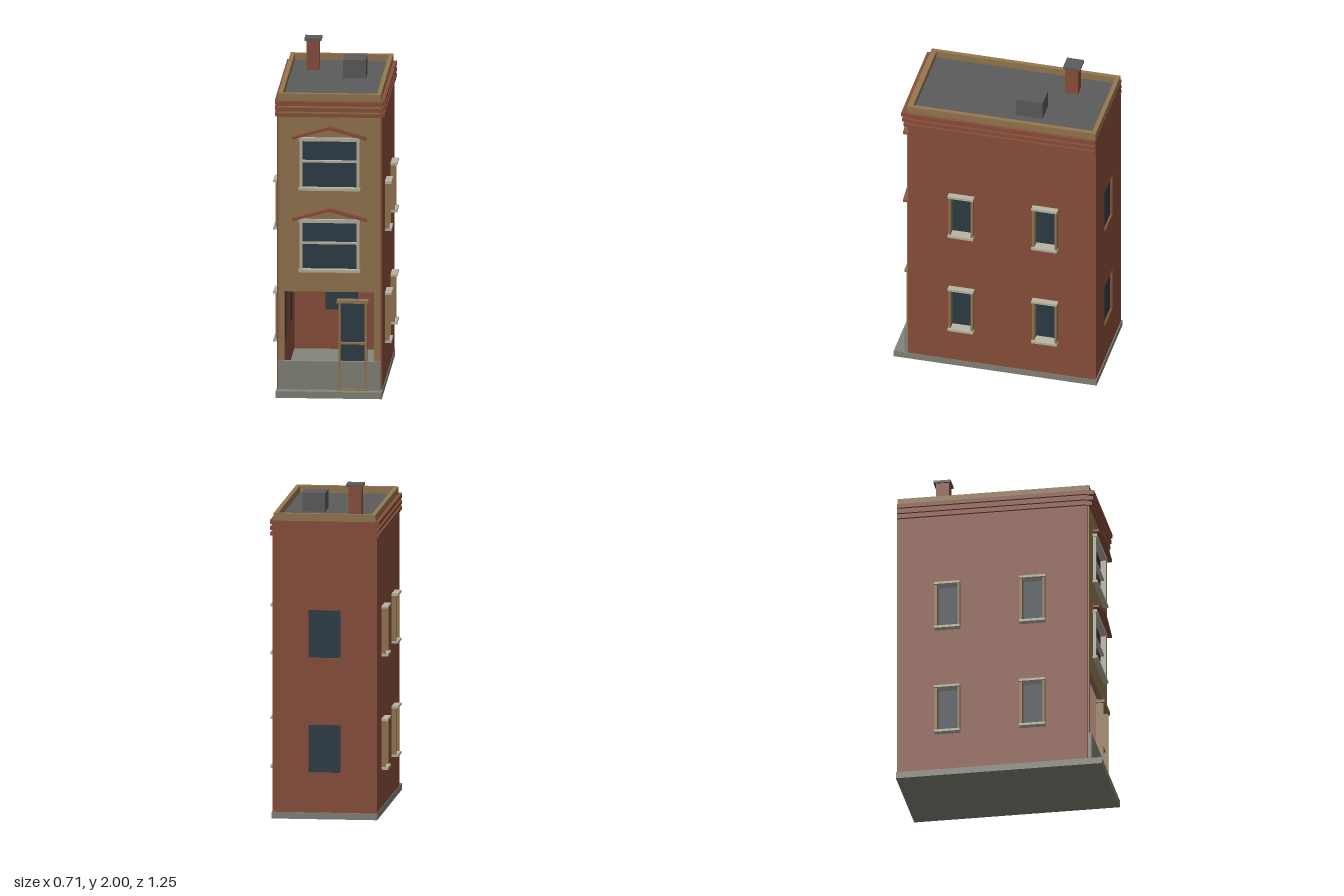
import * as THREE from 'three';

const mat = (name, color) => {
  const m = new THREE.MeshStandardMaterial({ color });
  m.name = name;
  return m;
};

export function createModel() {
  const brick = mat('brick', 0x8b4f3b);
  const tan = mat('tan stone', 0x95784f);
  const stone = mat('grey stone', 0x85857a);
  const trim = mat('pale trim', 0xbab5a3);
  const glass = mat('dark glass', 0x2e3c47);
  const roofGrey = mat('roof grey', 0x5c5c5c);

  const model = new THREE.Group();
  model.name = 'townhouse';

  const group = (name, parent = model) => {
    const g = new THREE.Group();
    g.name = name;
    parent.add(g);
    return g;
  };

  // Box given by its limits on each axis
  const box = (name, m, [x0, x1], [y0, y1], [z0, z1], parent = model) => {
    const mesh = new THREE.Mesh(new THREE.BoxGeometry(x1 - x0, y1 - y0, z1 - z0), m);
    mesh.position.set((x0 + x1) / 2, (y0 + y1) / 2, (z0 + z1) / 2);
    mesh.name = name;
    parent.add(mesh);
    return mesh;
  };

  // Upright wall with rectangular openings [u0, u1, v0, v1]
  const wall = (name, m, [u0, u1], [v0, v1], depth, holes) => {
    const rect = (path, a, b, c, d) =>
      path.moveTo(a, c).lineTo(b, c).lineTo(b, d).lineTo(a, d).lineTo(a, c);
    const shape = rect(new THREE.Shape(), u0, u1, v0, v1);
    for (const h of holes) shape.holes.push(rect(new THREE.Path(), ...h));
    const mesh = new THREE.Mesh(
      new THREE.ExtrudeGeometry(shape, { depth, bevelEnabled: false }), m);
    mesh.name = name;
    model.add(mesh);
    return mesh;
  };

  // Foundation slab
  box('foundation', stone, [-0.318, 0.318], [0, 0.04], [-0.626, 0.626]);

  // Side walls with four windows each
  const sideZ = [0.207, -0.31];
  const sideRows = [[0.283, 0.568], [0.97, 1.25]];
  const sideHoles = sideZ.flatMap((z) => sideRows.map(([a, b]) => [z - 0.07, z + 0.07, a, b]));
  for (const s of [1, -1]) {
    const side = s > 0 ? 'left' : 'right';
    const w = wall(side + 'Wall', brick, [-0.612, 0.54], [0.035, 1.8], 0.03, sideHoles);
    w.rotation.y = -Math.PI / 2;
    w.position.x = s > 0 ? 0.315 : -0.285;

    const span = (a, b) => (s > 0 ? [a, b] : [-b, -a]);
    for (const z of sideZ) for (const [y0, y1] of sideRows) {
      const g = group(side + 'Window');
      box('pane', glass, span(0.284, 0.29), [y0, y1], [z - 0.07, z + 0.07], g);
      for (const e of [-1, 1]) {
        const c = z + e * 0.069;
        box('jamb', tan, span(0.286, 0.342), [y0, y1], [c - 0.007, c + 0.007], g);
      }
      box('lintel', trim, span(0.286, 0.355), [y1 - 0.003, y1 + 0.011], [z - 0.079, z + 0.079], g);
      box('sill', trim, span(0.286, 0.355), [y0 - 0.012, y0 + 0.003], [z - 0.079, z + 0.079], g);
    }
  }

  // Back wall with two plain windows
  const backHoles = [[-0.097, 0.097, 0.28, 0.57], [-0.097, 0.097, 0.975, 1.265]];
  wall('backWall', brick, [-0.312, 0.312], [0.035, 1.803], 0.03, backHoles).position.z = -0.62;
  for (const [a, b, c, d] of backHoles) {
    box('backWindowPane', glass, [a, b], [c, d], [-0.606, -0.598]);
  }

  // Front wall with shop opening and two bay-width windows
  const frontRows = [[0.775, 1.07], [1.275, 1.57]];
  wall('frontWall', tan, [-0.306, 0.306], [0.035, 1.802], 0.03, [
    [-0.27, 0.266, 0.06, 0.637],
    ...frontRows.map(([a, b]) => [-0.168, 0.168, a, b]),
  ]).position.z = 0.517;

  // Front windows with pediments
  for (const [y0, y1] of frontRows) {
    const g = group('frontWindow');
    box('pane', glass, [-0.17, 0.17], [y0, y1], [0.527, 0.534], g);
    for (const s of [-1, 1]) {
      box('jamb', trim, [s * 0.171 - 0.009, s * 0.171 + 0.009], [y0, y1], [0.53, 0.568], g);
    }
    box('head', trim, [-0.184, 0.184], [y1 - 0.007, y1 + 0.013], [0.53, 0.572], g);
    box('sill', trim, [-0.186, 0.186], [y0 - 0.014, y0 + 0.002], [0.53, 0.577], g);
    const mid = (y0 + y1) / 2 + 0.013;
    box('meetingRail', trim, [-0.165, 0.165], [mid - 0.006, mid + 0.006], [0.53, 0.556], g);

    const b = y1 + 0.008;
    const chevron = new THREE.Shape([
      [-0.223, b], [-0.213, b], [0, b + 0.059], [0.213, b], [0.223, b],
      [0.223, b + 0.014], [0, b + 0.077], [-0.223, b + 0.014],
    ].map(([x, y]) => new THREE.Vector2(x, y)));
    const pediment = new THREE.Mesh(
      new THREE.ExtrudeGeometry(chevron, { depth: 0.038, bevelEnabled: false }), brick);
    pediment.position.z = 0.555;
    pediment.name = 'pediment';
    g.add(pediment);
  }

  // Low front wall and glazed door
  box('lowFrontWall', stone, [-0.308, 0.308], [0.03, 0.213], [0.535, 0.562]);
  const door = group('door');
  box('doorPane', glass, [0.062, 0.217], [0.045, 0.575], [0.526, 0.533], door);
  for (const x of [0.061, 0.218]) {
    box('doorPost', tan, [x - 0.007, x + 0.007], [0.04, 0.578], [0.526, 0.57], door);
  }
  box('doorRail', tan, [0.062, 0.217], [0.317, 0.329], [0.526, 0.556], door);
  box('doorLintel', tan, [0.044, 0.235], [0.573, 0.592], [0.526, 0.58], door);
  box('doorSill', tan, [0.044, 0.235], [0.036, 0.048], [0.526, 0.58], door);

  // Three cornice bands along the front and both sides
  const cornice = group('cornice');
  [[1.71, 1.731, 0.566], [1.744, 1.767, 0.573], [1.78, 1.807, 0.579]].forEach(([y0, y1, z]) => {
    box('frontBand', brick, [-0.322, 0.322], [y0, y1], [0.53, z], cornice);
    box('leftBand', brick, [0.3, 0.329], [y0 + 0.001, y1 - 0.001], [-0.617, 0.535], cornice);
    box('rightBand', brick, [-0.329, -0.3], [y0 + 0.001, y1 - 0.001], [-0.617, 0.535], cornice);
  });

  // Flat roof and parapet
  box('roof', roofGrey, [-0.29, 0.29], [1.77, 1.806], [-0.6, 0.525]);
  const parapet = group('parapet');
  for (const s of [-1, 1]) {
    const x = s * 0.295;
    box('sideParapet', tan, [x - 0.013, x + 0.013], [1.8, 1.848], [-0.618, 0.547], parapet);
  }
  box('frontParapet', tan, [-0.283, 0.283], [1.8, 1.848], [0.513, 0.547], parapet);
  box('backParapet', tan, [-0.283, 0.283], [1.8, 1.848], [-0.618, -0.592], parapet);

  // Chimney and roof hatch
  box('chimney', brick, [-0.196, -0.118], [1.8, 1.987], [-0.403, -0.323]);
  box('chimneyCap', roofGrey, [-0.207, -0.105], [1.985, 2], [-0.418, -0.313]);
  box('roofHatch', roofGrey, [0.04, 0.177], [1.8, 1.92], [-0.258, -0.095]);

  return model;
}
